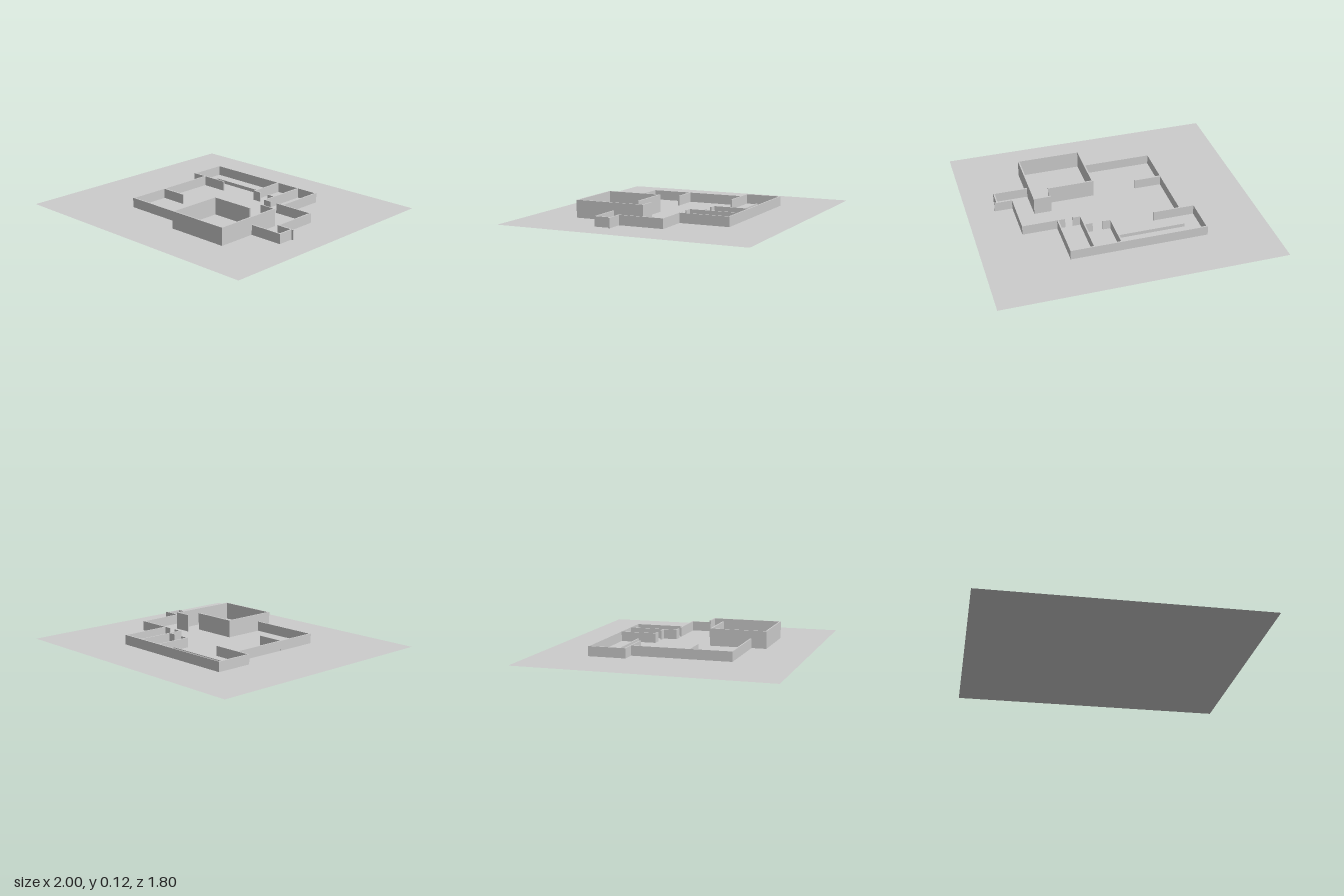
import * as THREE from 'three';

const T = 0.01; // wall thickness
const LOW = 0.07, TALL = 0.125, CURB = 0.025;

export function createModel() {
  const group = new THREE.Group();
  const mat = new THREE.MeshStandardMaterial({ color: 0xcccccc, flatShading: true });

  // Thin flat site
  const groundMat = mat.clone();
  groundMat.side = THREE.DoubleSide;
  const ground = new THREE.Mesh(new THREE.PlaneGeometry(2, 1.804).rotateX(-Math.PI / 2), groundMat);
  ground.name = 'ground';
  group.add(ground);

  // Straight wall between two plan points, along x or z
  function wall(name, h, x0, z0, x1, z1, t = T) {
    const geo = new THREE.BoxGeometry(Math.abs(x1 - x0) + t, h, Math.abs(z1 - z0) + t);
    const mesh = new THREE.Mesh(geo, mat);
    mesh.position.set((x0 + x1) / 2, h / 2, (z0 + z1) / 2);
    mesh.name = name;
    group.add(mesh);
  }

  // Chain of walls through corner points
  function run(name, h, pts) {
    for (let i = 1; i < pts.length; i++) wall(name, h, ...pts[i - 1], ...pts[i]);
  }

  // Back wing: outer walls with an inner return on the left
  run('backWingWall', LOW, [[-0.248, -0.263], [-0.545, -0.263], [-0.545, -0.525], [0.42, -0.525], [0.42, -0.163]]);
  wall('lowCurb', CURB, -0.425, -0.39, 0.067, -0.39);

  // Partitions and door stubs of the small back rooms
  run('backPartition', LOW, [[0.067, -0.525], [0.067, -0.263], [0.12, -0.263]]);
  run('backPartition', LOW, [[0.256, -0.525], [0.256, -0.163], [0.31, -0.163]]);
  wall('doorStub', LOW, 0.203, -0.263, 0.256, -0.263);

  // Left and front walls of the main room
  run('mainRoomWall', LOW, [[-0.44, -0.263], [-0.44, 0.453], [0.08, 0.453]]);
  wall('mainRoomPartition', LOW, -0.44, 0.157, -0.248, 0.157, 0.012);

  // Right wing and entrance porch
  run('rightWingWall', LOW, [[0.373, -0.163], [0.668, -0.163], [0.668, 0.163], [0.795, 0.163]]);
  run('porchWall', LOW, [[0.78, 0.163], [0.78, 0.277], [0.533, 0.277]]);

  // Tall room at the front, open at its back right corner
  run('tallRoomWall', TALL, [[0.08, 0.157], [0.08, 0.56], [0.533, 0.56], [0.533, 0.053], [0.417, 0.053]]);
  wall('tallRoomBackWall', TALL, 0.08, 0.157, 0.403, 0.157, 0.012);

  return group;
}
